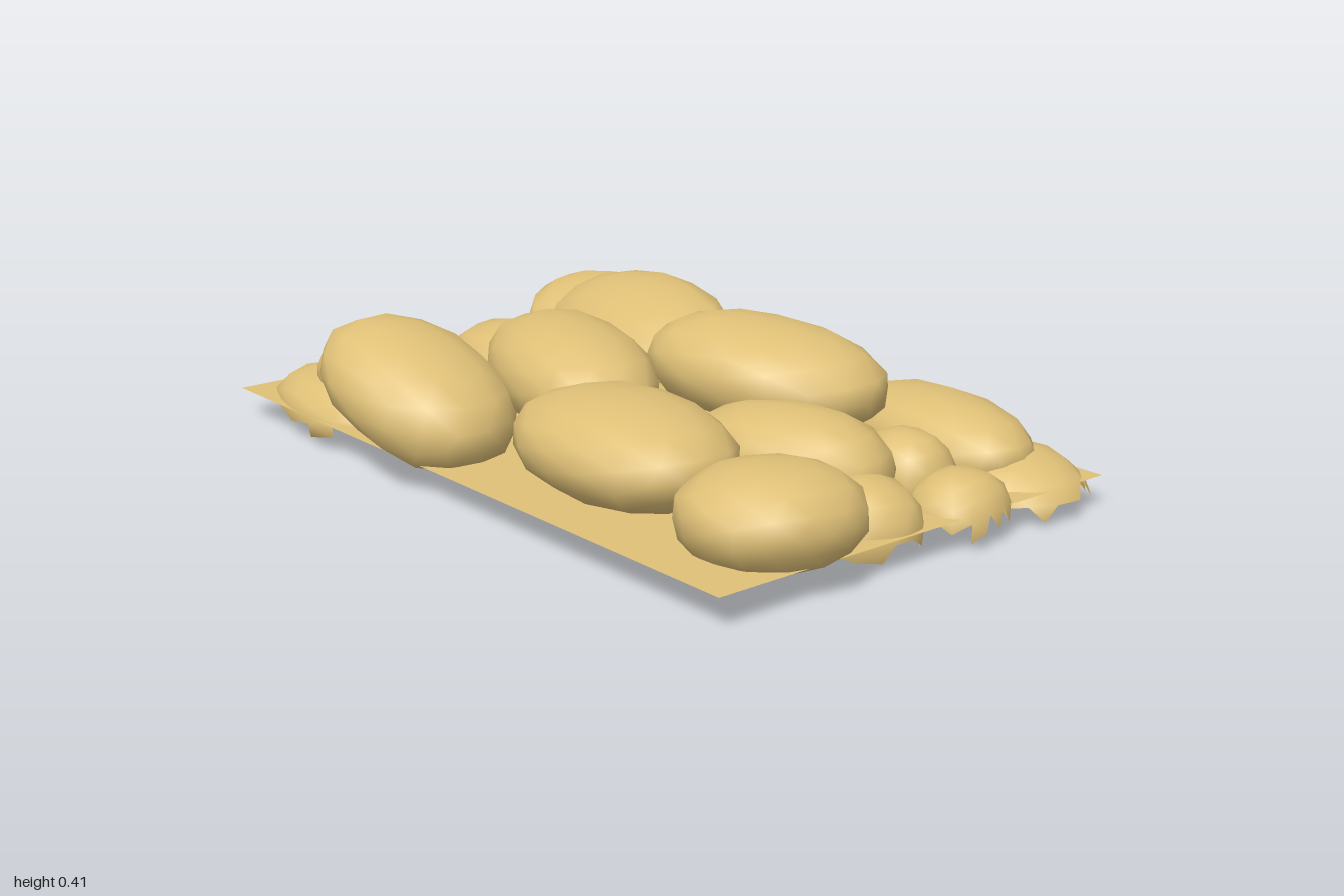
import * as THREE from 'three';
import { mergeVertices } from 'three/addons/utils/BufferGeometryUtils.js';

const material = new THREE.MeshStandardMaterial({ color: 0xdfc077, side: THREE.DoubleSide });

// small seeded generator
function seeded(seed) {
  let s = seed * 7919 + 17;
  return () => {
    s = (s * 16807) % 2147483647;
    return s / 2147483647;
  };
}

// Rounded stone: a full, low-poly ellipsoid whose underside is torn away.
function stoneGeometry(seed, x, y, z, a, h, b, yaw = 0, roll = 0, pitch = 0) {
  const random = seeded(seed + 1);
  let geo = new THREE.IcosahedronGeometry(1, 2);
  geo.deleteAttribute('normal');
  geo.deleteAttribute('uv');
  geo = mergeVertices(geo, 1e-4);
  const pos = geo.attributes.position;
  const v = new THREE.Vector3();
  const turn = new THREE.Euler(pitch, yaw, roll, 'YXZ');
  const power = 2.25;
  for (let i = 0; i < pos.count; i++) {
    v.fromBufferAttribute(pos, i);
    // slightly squarer than a sphere
    const sum = Math.abs(v.x) ** power + Math.abs(v.y) ** power + Math.abs(v.z) ** power;
    v.multiplyScalar(sum ** (-1 / power) * (0.99 + 0.04 * random()));
    v.set(v.x * a, v.y * h, v.z * b).applyEuler(turn);
    pos.setXYZ(i, v.x + x, Math.max(0, v.y + y), v.z + z);
  }
  geo.computeVertexNormals();
  // keep only faces above an uneven tear line
  const index = geo.index.array;
  const kept = [];
  for (let i = 0; i < index.length; i += 3) {
    const face = [index[i], index[i + 1], index[i + 2]];
    const mid = face.reduce((total, k) => total + pos.getY(k), 0) / 3;
    if (mid > 0.045 + 0.04 * random()) kept.push(...face);
  }
  geo.setIndex(kept);
  return geo;
}

export function createModel() {
  const model = new THREE.Group();
  model.name = 'stonePile';

  // flat ground sheet
  const sheet = new THREE.Mesh(new THREE.PlaneGeometry(1.95, 1.21), material);
  sheet.name = 'groundSheet';
  sheet.rotation.x = -Math.PI / 2;
  sheet.position.set(-0.025, 0.095, -0.025);
  model.add(sheet);

  // x, y, z, half length, half height, half depth, yaw, roll, pitch
  const topStones = [
    [0.29, 0.295, -0.155, 0.315, 0.125, 0.205, 0.25, -0.08],
    [-0.35, 0.24, -0.285, 0.355, 0.125, 0.205, -0.22, -0.04, 0.3],
    [-0.09, 0.26, 0.15, 0.32, 0.13, 0.185, -0.3, -0.04],
    [0.36, 0.222, 0.345, 0.312, 0.12, 0.215, -0.1, 0],
    [-0.295, 0.225, 0.47, 0.28, 0.132, 0.2, 0.1, -0.35],
    [-0.625, 0.19, 0.33, 0.225, 0.115, 0.175, 0.12, 0.15],
  ];
  const middleStones = [
    [0.79, 0.165, 0.295, 0.2, 0.117, 0.208, -0.25, 0.05],
    [-0.49, 0.165, 0.03, 0.23, 0.13, 0.17, -0.15, 0.1],
    [0.55, 0.165, 0.01, 0.255, 0.13, 0.165, 0.25, 0],
    [0.55, 0.13, -0.475, 0.3, 0.112, 0.165, -0.1, 0],
    [0.2, 0.18, -0.385, 0.235, 0.13, 0.165, -0.25, 0],
    [-0.725, 0.175, -0.435, 0.235, 0.085, 0.205, -0.7, -0.3],
  ];
  const baseStones = [
    [-0.72, 0.08, 0.405, 0.275, 0.095, 0.175, -0.15, 0],
    [0.79, 0.05, -0.5, 0.195, 0.1, 0.165, -0.3, -0.1],
    [0.69, 0.11, -0.23, 0.12, 0.115, 0.11, 0, 0],
    [0.86, 0.06, -0.23, 0.115, 0.11, 0.13, 0.3, 0],
    [0.8, 0.08, 0.03, 0.14, 0.115, 0.14, -0.4, 0],
    [-0.84, 0.06, -0.13, 0.145, 0.1, 0.15, 0.2, 0],
    [-0.78, 0.06, 0.11, 0.175, 0.1, 0.16, 0, 0],
    [-0.66, 0.09, -0.09, 0.16, 0.12, 0.16, 0.4, 0],
    [-0.3, 0.07, -0.545, 0.205, 0.1, 0.11, 0, 0],
    [-0.01, 0.07, -0.51, 0.15, 0.11, 0.12, -0.2, 0],
    [-0.02, 0.12, -0.34, 0.19, 0.13, 0.17, 0, 0],
  ];
  // stones underneath, mostly covered by the pile
  const buriedStones = [
    [0.12, 0.1, 0.0, 0.3, 0.13, 0.2, 0.2, 0],
    [-0.22, 0.08, -0.14, 0.28, 0.12, 0.2, 0.3, 0],
    [0.38, 0.08, -0.2, 0.24, 0.12, 0.16, -0.3, 0],
    [-0.36, 0.07, 0.25, 0.22, 0.1, 0.16, 0.5, 0],
    [0.62, 0.06, 0.12, 0.2, 0.1, 0.16, 0.8, 0],
  ];

  let seed = 0;
  for (const [name, list] of Object.entries({ topStones, middleStones, baseStones, buriedStones })) {
    const layer = new THREE.Group();
    layer.name = name;
    for (const dims of list) {
      const stone = new THREE.Mesh(stoneGeometry(seed++, ...dims), material);
      stone.name = 'stone';
      layer.add(stone);
    }
    model.add(layer);
  }
  return model;
}
